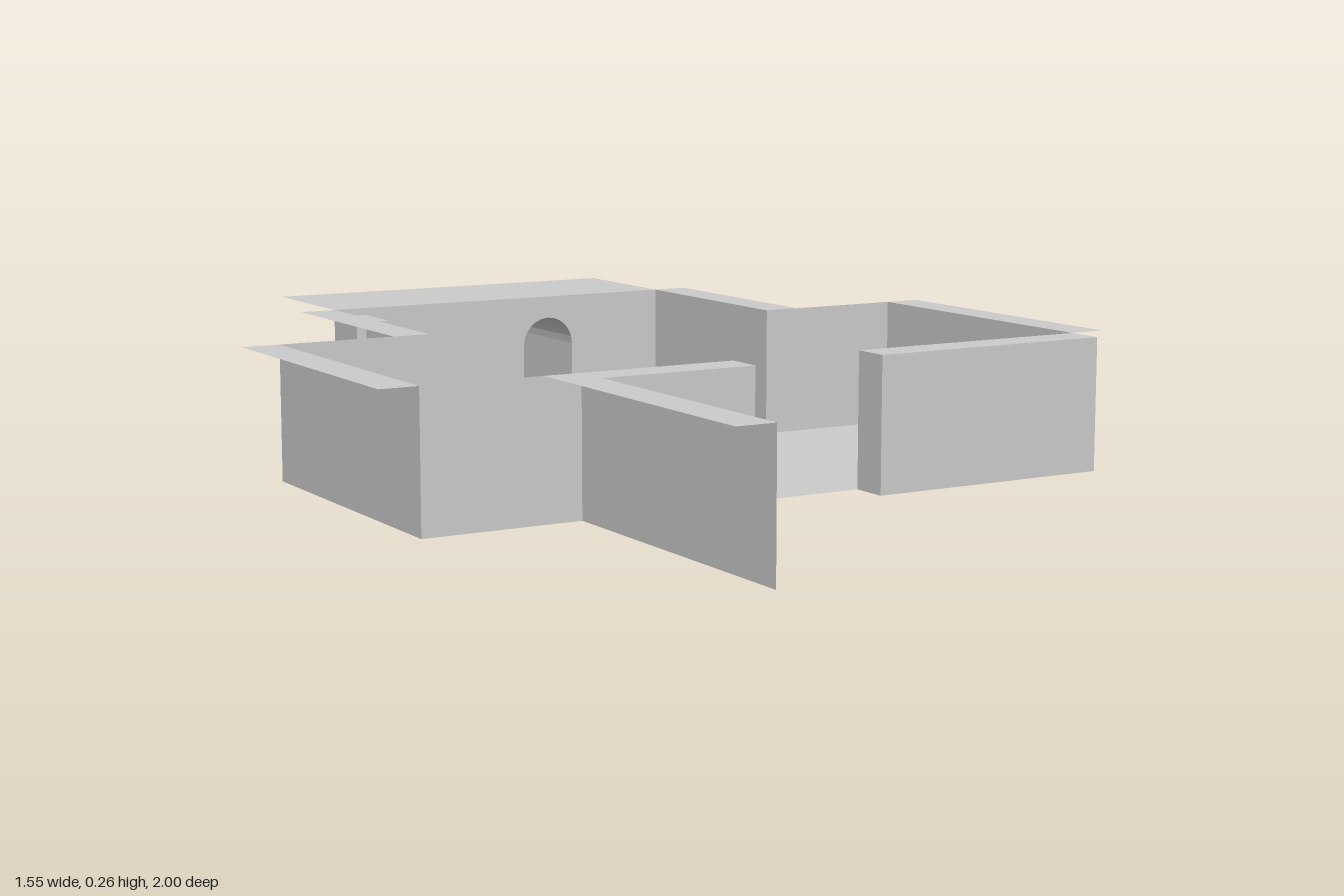
import * as THREE from 'three';

const H = 0.262;          // wall height
const L = 0.075;          // ledge width
const mat = new THREE.MeshStandardMaterial({ color: 0xcccccc, side: THREE.DoubleSide, flatShading: true });

export function createModel() {
  const model = new THREE.Group();
  const add = (name, geo) => {
    const mesh = new THREE.Mesh(geo, mat);
    mesh.name = name;
    model.add(mesh);
    return mesh;
  };

  // Upright sheets following a plan path of [x, z] points
  const wall = (name, pts) => {
    const pos = [], idx = [];
    for (let i = 0; i < pts.length - 1; i++) {
      const [[ax, az], [bx, bz]] = [pts[i], pts[i + 1]];
      pos.push(ax, 0, az, bx, 0, bz, bx, H, bz, ax, H, az);
      idx.push(...[0, 1, 2, 0, 2, 3].map((k) => k + 4 * i));
    }
    const g = new THREE.BufferGeometry();
    g.setAttribute('position', new THREE.Float32BufferAttribute(pos, 3));
    g.setIndex(idx);
    g.computeVertexNormals();
    add(name, g);
  };

  // Flat horizontal sheet from a plan outline, facing up
  const slab = (name, pts, y) => {
    const g = new THREE.ShapeGeometry(new THREE.Shape(pts.map(([x, z]) => new THREE.Vector2(x, -z))));
    g.rotateX(-Math.PI / 2).translate(0, y, 0);
    add(name, g);
  };
  const rect = (x0, x1, z0, z1) => [[x0, z0], [x1, z0], [x1, z1], [x0, z1]];
  const ledge = (name, ...r) => slab(name, rect(...r), H);

  // Plan dimensions
  const X = 0.7, N = 0.39, back = -0.71, mid = -0.245, front = 0.375, out = front + L;
  const doorL = -0.08, doorR = 0.195;

  // Floor, including the undersides of the thick front walls
  slab('floor', [
    [-N, back], [N, back], [N, mid], [X, mid], [X, out], [doorR, out], [doorR, front],
    [doorL, front], [doorL, out], [-N, out], [-N, front], [-X, front], [-X, mid], [-N, mid],
  ], 0);

  // Room walls; the left rear wall has a shallow niche pressed inward
  const niche = [[-N, -0.485], [-0.368, -0.485], [-0.368, -0.595], [-N, -0.595]];
  wall('leftRearWall', [[-X, front], [-X, mid], [-N, mid], ...niche, [-N, back]]);
  wall('rightRearWall', [[N, back], [N, mid], [X, mid], [X, out]]);
  wall('frontInnerWallA', [[-X, front], [doorL, front]]);
  wall('frontInnerWallB', [[doorR, front], [X, front]]);
  wall('frontOuterWallA', [[doorL, front], [doorL, out], [-N, out]]);
  wall('frontOuterWallB', [[doorR, front], [doorR, out], [X, out]]);
  wall('wingWall', [[-N, front], [-N, 1]]);

  // Ledges on top of the walls
  ledge('sideLedgeA', -X - L, -X, mid, front);
  ledge('sideLedgeB', X, X + L, mid, front);
  slab('rearLedgeA', [[-N - L, back], [-N - L, mid], [-N, mid], ...niche, [-N, back]], H);
  ledge('rearLedgeB', N, N + L, back, mid);
  ledge('frontLedgeA', -N, doorL, front, out);
  ledge('frontLedgeB', doorR, X, front, out);
  ledge('wingLedge', -N - L, -N, front, 1);
  ledge('rearRoof', -N, N, -1, back);

  // Arched doorway: wall with opening, tunnel and outer facade
  const cx = 0.116, r = 0.06, spring = 0.155;
  const arch = [[cx - r, 0]];
  for (let i = 0; i <= 12; i++) {
    const a = Math.PI * (1 - i / 12);
    arch.push([cx + r * Math.cos(a), spring + r * Math.sin(a)]);
  }
  arch.push([cx + r, 0]);
  const archedSheet = (name, x0, x1, z) => {
    const s = new THREE.Shape([[x0, 0], ...arch, [x1, 0], [x1, H], [x0, H]].map((p) => new THREE.Vector2(...p)));
    add(name, new THREE.ShapeGeometry(s).translate(0, 0, z));
  };
  archedSheet('rearWall', -N, N, back);
  archedSheet('doorFacade', cx - 0.136, cx + 0.136, -1);

  const pos = [], idx = [];
  arch.forEach(([x, y], i) => {
    pos.push(x, y, back, x, y, -1);
    const a = 2 * i, b = 2 * ((i + 1) % arch.length); // last strip closes the floor
    idx.push(a, b, a + 1, b, b + 1, a + 1);
  });
  const tunnel = new THREE.BufferGeometry();
  tunnel.setAttribute('position', new THREE.Float32BufferAttribute(pos, 3));
  tunnel.setIndex(idx);
  tunnel.computeVertexNormals();
  add('doorTunnel', tunnel);

  return model;
}
